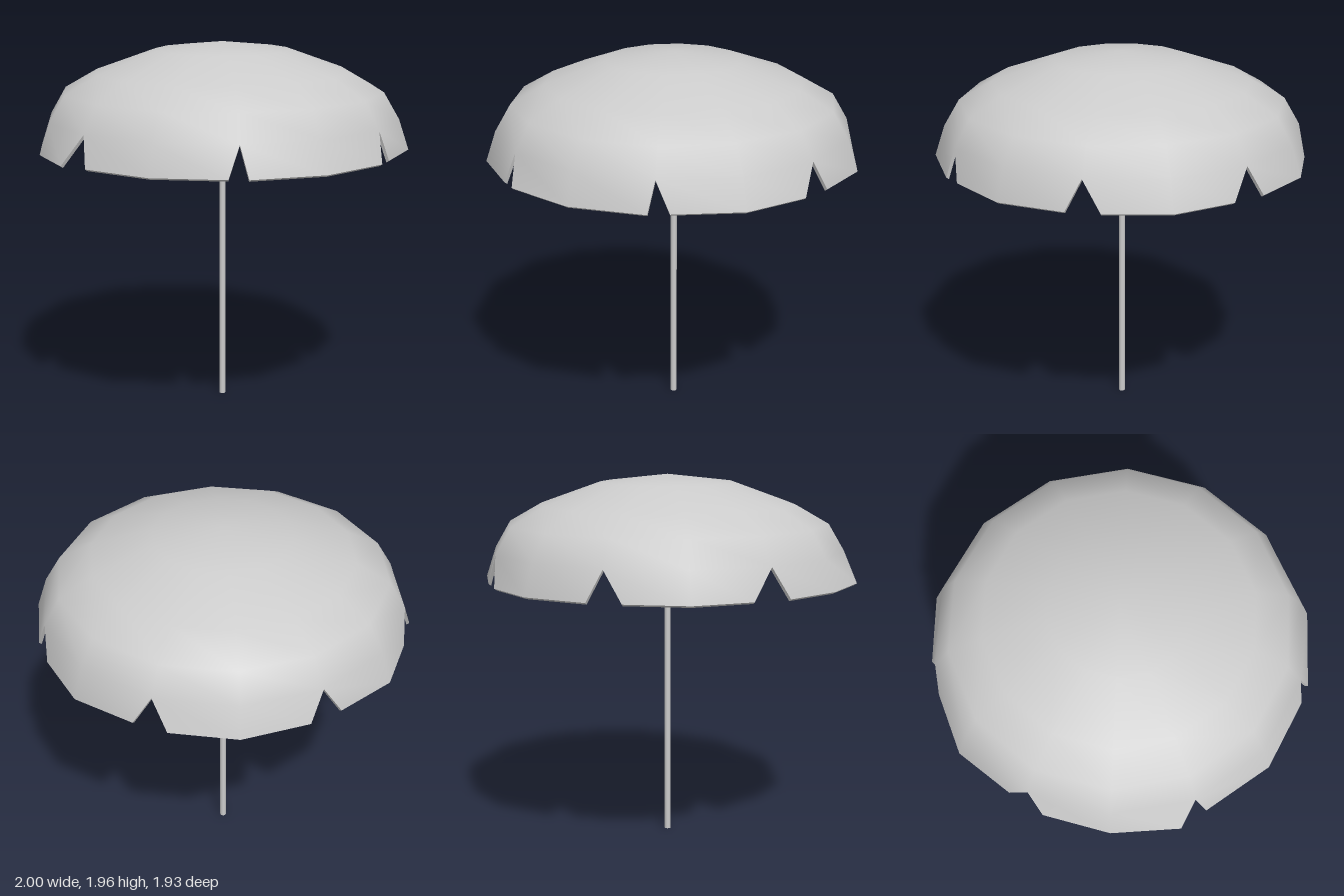
import * as THREE from 'three';
import { mergeGeometries } from 'three/addons/utils/BufferGeometryUtils.js';

const SIDES = 14;
const CX = 0.007; // the pole axis sits slightly off centre
const THICK = 0.014;
// dome rings from crown to top of skirt: [radius, height]
const RINGS = [[0.36, 1.915], [0.68, 1.8], [0.855, 1.7], [0.937, 1.56]];
const APEX = 1.957, RIM_R = 0.99, RIM_Y = 1.4;
// hem corners either side of each notch: [x, z, x, z]
const NOTCHES = [
  [0.91, 0.33, 0.84, 0.49], [0.29, 0.92, 0.19, 0.96], [-0.575, 0.795, -0.645, 0.725],
  [-0.965, 0.05, -1.0, -0.1], [-0.67, -0.7, -0.5, -0.81], [0.12, -0.95, 0.3, -0.92],
  [0.84, -0.5, 0.91, -0.33],
];

// one skin of the canopy, moved inward by d; also returns its hem outline
function skin(d, flip) {
  const pos = [], index = [], hem = [];
  const add = (x, y, z) => {
    const s = 1 - d / Math.max(Math.hypot(x - CX, z), 0.1);
    return pos.push(CX + (x - CX) * s, y - d * 0.7, z * s) / 3 - 1;
  };
  const onRing = (r, y, k) => {
    const a = (k / SIDES) * Math.PI * 2;
    return add(CX + r * Math.cos(a), y, r * Math.sin(a));
  };
  const tri = (a, b, c) => (flip ? index.push(a, c, b) : index.push(a, b, c));
  const quad = (low0, high0, high1, low1) => {
    tri(low0, high0, high1);
    tri(low0, high1, low1);
  };

  const apex = add(CX, APEX, 0);
  const rings = RINGS.map(([r, y]) => Array.from({ length: SIDES }, (_, k) => onRing(r, y, k)));
  for (let k = 0; k < SIDES; k++) {
    const n = (k + 1) % SIDES;
    tri(rings[0][k], apex, rings[0][n]);
    for (let i = 1; i < rings.length; i++) quad(rings[i][k], rings[i - 1][k], rings[i - 1][n], rings[i][n]);
  }

  // skirt flaps: whole corners at even sides, notches at odd sides
  const top = rings[rings.length - 1];
  const corners = NOTCHES.map((_, j) => onRing(RIM_R, RIM_Y, 2 * j));
  NOTCHES.forEach(([ax, az, bx, bz], j) => {
    const a = add(ax, RIM_Y, az), b = add(bx, RIM_Y, bz);
    const tip = top[2 * j + 1], next = (j + 1) % NOTCHES.length;
    quad(corners[j], top[2 * j], tip, a);
    quad(b, tip, top[2 * next], corners[next]);
    hem.push(corners[j], a, tip, b);
  });

  const geo = new THREE.BufferGeometry();
  geo.setAttribute('position', new THREE.Float32BufferAttribute(pos, 3));
  geo.setIndex(index);
  geo.computeVertexNormals();
  const outline = hem.map((i) => pos.slice(3 * i, 3 * i + 3));
  return { geo: geo.toNonIndexed(), outline };
}

// narrow flat wall closing the hem and the notch sides
function hemWall(outer, inner) {
  const pos = [];
  outer.forEach((o0, i) => {
    const n = (i + 1) % outer.length;
    pos.push(...o0, ...outer[n], ...inner[n], ...o0, ...inner[n], ...inner[i]);
  });
  const geo = new THREE.BufferGeometry();
  geo.setAttribute('position', new THREE.Float32BufferAttribute(pos, 3));
  geo.computeVertexNormals();
  return geo;
}

export function createModel() {
  const group = new THREE.Group();
  group.name = 'parasol';
  const material = new THREE.MeshStandardMaterial({ color: 0xcccccc });

  // canopy
  const outer = skin(0, false), inner = skin(THICK, true);
  const canopy = new THREE.Mesh(
    mergeGeometries([outer.geo, inner.geo, hemWall(outer.outline, inner.outline)]), material);
  canopy.name = 'canopy';
  group.add(canopy);

  // pole
  const height = 1.945;
  const pole = new THREE.Mesh(new THREE.CylinderGeometry(0.017, 0.017, height, 10), material);
  pole.position.set(CX, height / 2, 0);
  pole.name = 'pole';
  group.add(pole);

  return group;
}
